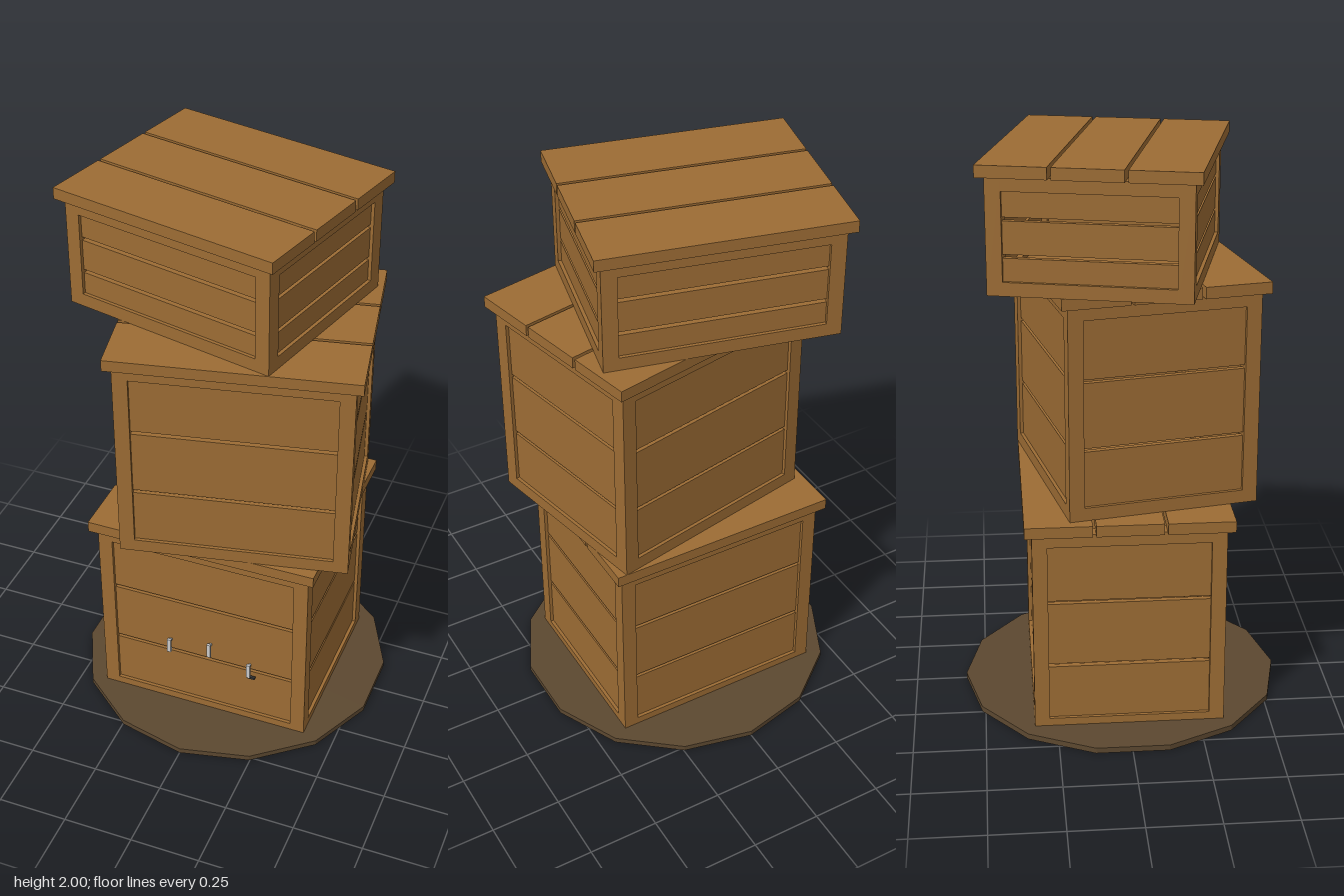
import * as THREE from 'three';

const wood = new THREE.MeshStandardMaterial({ color: 0x9c6c34, flatShading: true });
const earth = new THREE.MeshStandardMaterial({ color: 0x5c4830, flatShading: true });
const steel = new THREE.MeshStandardMaterial({ color: 0xcccccc, flatShading: true });
const iron = new THREE.MeshStandardMaterial({ color: 0x333333, flatShading: true });

const W = 0.785, D = 0.662;   // crate body width and depth
const POST = 0.052, RAIL = 0.046, GAP = 0.012, LID = 0.04, OVERHANG = 0.025;

function box(parent, name, size, pos, material = wood) {
  const mesh = new THREE.Mesh(new THREE.BoxGeometry(...size), material);
  mesh.position.set(...pos);
  mesh.name = name;
  parent.add(mesh);
  return mesh;
}

// One wall: top and bottom rails with three recessed slats, outer face at +z
function wall(width, height) {
  const g = new THREE.Group();
  g.name = 'wall';
  const span = width - 2 * POST;
  for (const y of [RAIL / 2, height - RAIL / 2]) {
    box(g, 'rail', [span, RAIL, POST], [0, y, -POST / 2]);
  }
  const cuts = [RAIL, height / 3, height * 2 / 3 - 0.008, height - RAIL];
  for (let i = 0; i < 3; i++) {
    const lo = cuts[i] + (i > 0 ? GAP / 2 : 0);
    const hi = cuts[i + 1] - (i < 2 ? GAP / 2 : 0);
    box(g, 'slat', [span, hi - lo, 0.02], [0, (lo + hi) / 2, -0.022]);
  }
  return g;
}

function crate(name, height) {
  const g = new THREE.Group();
  g.name = name;

  // Corner posts
  for (const sx of [-1, 1]) for (const sz of [-1, 1]) {
    box(g, 'cornerPost', [POST, height, POST],
      [sx * (W - POST) / 2, height / 2, sz * (D - POST) / 2]);
  }

  // Four walls
  for (let i = 0; i < 4; i++) {
    const side = i % 2 === 1;
    const w = wall(side ? D : W, height);
    const angle = i * Math.PI / 2;
    const r = (side ? W : D) / 2;
    w.rotation.y = angle;
    w.position.set(Math.sin(angle) * r, 0, Math.cos(angle) * r);
    g.add(w);
  }

  // Floor
  box(g, 'floor', [W - 2 * POST, 0.02, D - 2 * POST], [0, 0.015, 0]);

  // Lid planks
  const lidDepth = D + 2 * OVERHANG;
  const plank = (lidDepth - 2 * GAP) / 3;
  for (let i = -1; i <= 1; i++) {
    box(g, 'lidPlank', [W + 2 * OVERHANG, LID, plank],
      [0, height + LID / 2, i * (plank + GAP)]);
  }
  return g;
}

export function createModel() {
  const model = new THREE.Group();
  model.name = 'crateStack';

  // Ground disc
  const disc = new THREE.Mesh(new THREE.CylinderGeometry(0.569, 0.569, 0.02, 14), earth);
  disc.name = 'groundDisc';
  disc.position.y = 0.01;
  model.add(disc);

  // Three stacked crates, each turned a little
  const stack = [
    { name: 'bottomCrate', x: -0.002, y: 0.002, z: 0.002, h: 0.746, turn: 0 },
    { name: 'middleCrate', x: 0.065, y: 0.789, z: 0.047, h: 0.746, turn: 0.2 },
    { name: 'topCrate', x: -0.053, y: 1.576, z: -0.04, h: 0.384, turn: -0.235 },
  ];
  for (const s of stack) {
    const c = crate(s.name, s.h);
    c.position.set(s.x, s.y, s.z);
    c.rotation.y = s.turn;
    model.add(c);
  }

  // Small metal tags pinned to the front of the bottom crate
  for (const [x, y] of [[-0.13, 0.285], [0.025, 0.31], [0.177, 0.262]]) {
    box(model, 'metalTag', [0.014, 0.058, 0.01], [x, y, 0.34], steel);
    box(model, 'tagPin', [0.008, 0.008, 0.026], [x, y + 0.015, 0.327], steel);
  }
  box(model, 'tagHook', [0.026, 0.008, 0.01], [0.19, 0.234, 0.34], iron);

  return model;
}
